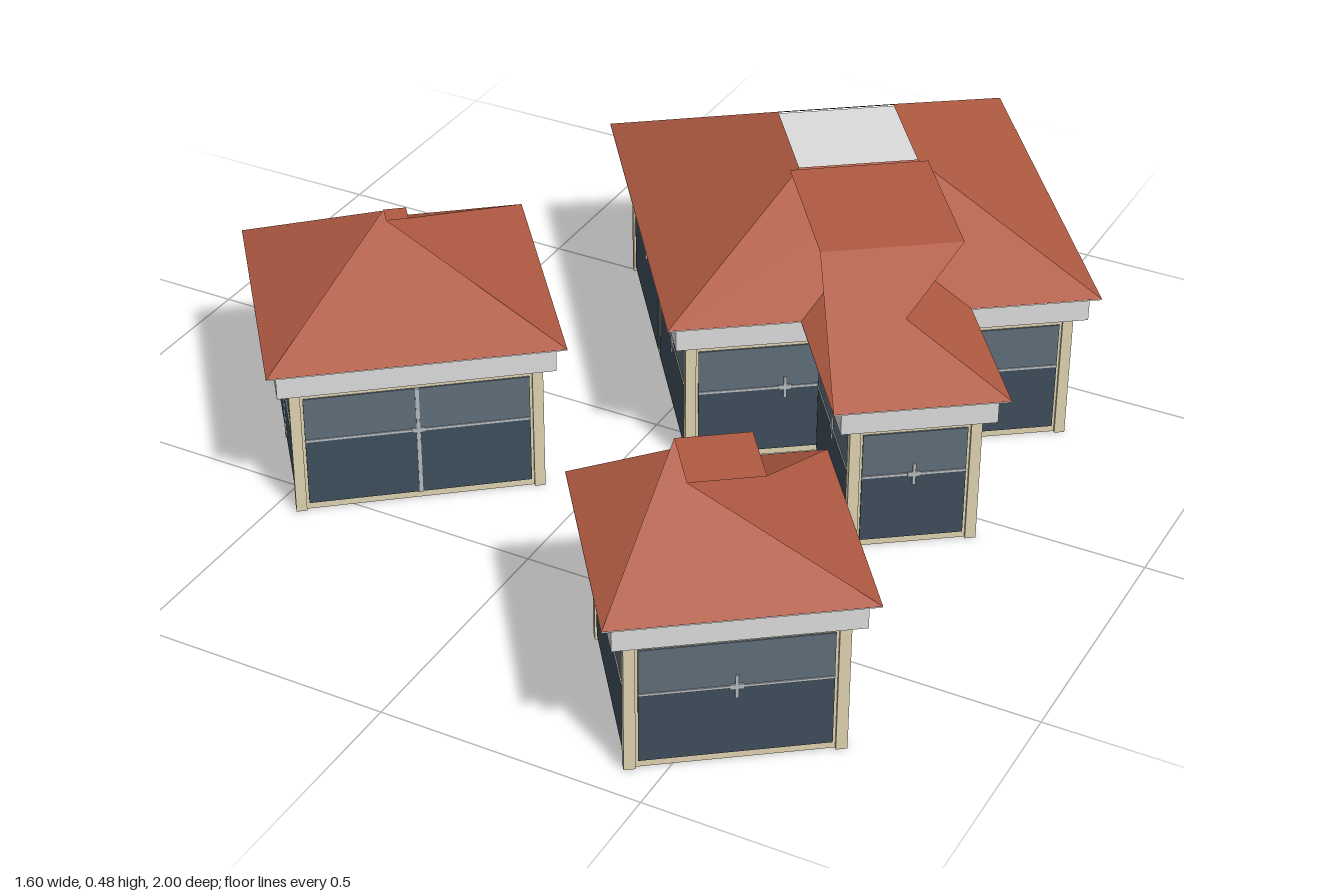
import * as THREE from 'three';

const EAVE = 0.32, RIDGE = 0.48, INSET = 0.295;   // roof heights and slope run
const WALL_IN = 0.05, FASCIA_IN = 0.018;          // how far walls and fascia sit inside the eaves
const WALL_H = 0.27;

const mat = (name, color, side = THREE.FrontSide) => {
  const m = new THREE.MeshStandardMaterial({ color, side });
  m.name = name;
  return m;
};

export function createModel() {
  const M = {
    tile: mat('terracotta tile', 0xb05a42, THREE.DoubleSide),
    plaster: mat('pale grey plaster', 0xdcdcdc, THREE.DoubleSide),
    frame: mat('cream frame', 0xdfd2b0),
    glassLow: mat('dark glass', 0x3e4e5b),
    glassHigh: mat('lighter glass', 0x5f6d79),
    bar: mat('grey metal', 0xb4babf),
  };

  const add = (parent, name, geo, material, x = 0, y = 0, z = 0) => {
    const m = new THREE.Mesh(geo, material);
    m.name = name;
    m.position.set(x, y, z);
    parent.add(m);
    return m;
  };
  const box = (parent, name, w, h, d, material, x, y, z = 0) =>
    add(parent, name, new THREE.BoxGeometry(w, h, d), material, x, y, z);

  // Sloping roof planes; on narrow buildings the planes run past each other to the cap
  function makeRoof(parent, h, z0, z1, { openBack, cap }) {
    const i = INSET, k = h - i;
    const zi0 = openBack ? z0 : z0 + i, zi1 = z1 - i;
    const O = [[-h, z0], [h, z0], [h, z1], [-h, z1]].map(([x, z]) => [x, EAVE, z]);
    const I = [[-k, zi0], [k, zi0], [k, zi1], [-k, zi1]].map(([x, z]) => [x, RIDGE, z]);
    const pts = [];
    for (let a = openBack ? 1 : 0; a < 4; a++) {
      const b = (a + 1) % 4;
      pts.push(...O[b], ...O[a], ...I[a], ...I[b], ...O[b], ...I[a]);
    }
    const geo = new THREE.BufferGeometry();
    geo.setAttribute('position', new THREE.Float32BufferAttribute(pts, 3));
    geo.computeVertexNormals();
    add(parent, 'roofSlopes', geo, M.tile);
    if (cap) {
      const top = new THREE.PlaneGeometry(Math.abs(2 * k), Math.abs(zi1 - zi0)).rotateX(-Math.PI / 2);
      add(parent, 'roofCap', top, M.tile, 0, RIDGE, (zi0 + zi1) / 2);
    }
  }

  // One wall facing +z, with windows visible on both sides
  function makeWall(width, windows, split) {
    const g = new THREE.Group();
    g.name = 'windowWall';
    box(g, 'wallFrame', width, WALL_H, 0.008, M.frame, 0, WALL_H / 2);
    const bay = width / windows;
    for (let n = 0; n < windows; n++) {
      const x = -width / 2 + bay * (n + 0.5), w = bay - 0.03;
      box(g, 'lowerGlass', w, 0.136, 0.014, M.glassLow, x, 0.082);
      box(g, 'upperGlass', w, 0.092, 0.014, M.glassHigh, x, 0.196);
      box(g, 'windowBar', w, 0.005, 0.018, M.bar, x, 0.152);
      box(g, 'handleUpright', 0.006, 0.045, 0.02, M.bar, x, 0.152);
      box(g, 'handleCross', 0.024, 0.01, 0.02, M.bar, x, 0.152);
      if (split) box(g, 'mullion', 0.007, 0.228, 0.018, M.bar, x, 0.128);
    }
    return g;
  }

  function makeBuilding(name, { x, z, angle, h, z0 = -h, z1 = h, windows = 1, split = false,
    cap = true, openBack = false, roofBack = z0 }) {
    const g = new THREE.Group();
    g.name = name;
    g.position.set(x, 0, z);
    g.rotation.y = THREE.MathUtils.degToRad(angle);

    makeRoof(g, h, roofBack, z1, { openBack, cap });

    // Ceiling doubling as the eave soffit
    const ceiling = new THREE.PlaneGeometry(2 * h, z1 - z0).rotateX(-Math.PI / 2);
    add(g, 'ceiling', ceiling, M.plaster, 0, EAVE - 0.002, (z0 + z1) / 2);

    // Fascia band: a rectangular ring on top of the walls
    const wx = h - WALL_IN, fx = h - FASCIA_IN;
    const wz0 = openBack ? z0 : z0 + WALL_IN, wz1 = z1 - WALL_IN;
    const fz0 = openBack ? z0 - 0.01 : z0 + FASCIA_IN, fz1 = z1 - FASCIA_IN;
    const rect = (P, w, a, b) => {
      const p = new P();
      p.moveTo(-w, -a).lineTo(w, -a).lineTo(w, -b).lineTo(-w, -b).closePath();
      return p;
    };
    const ring = rect(THREE.Shape, fx, fz0, fz1);
    ring.holes.push(rect(THREE.Path, wx - 0.004, wz0, wz1 - 0.004));
    const band = new THREE.ExtrudeGeometry(ring, { depth: EAVE - 0.003 - 0.265, bevelEnabled: false });
    add(g, 'fascia', band.rotateX(-Math.PI / 2), M.plaster, 0, 0.265, 0);

    // Walls on each side
    const depth = wz1 - wz0, mid = (wz0 + wz1) / 2;
    const sides = [[2 * wx, 0, wz1, 0], [depth, wx, mid, 1], [depth, -wx, mid, -1]];
    if (!openBack) sides.push([2 * wx, 0, wz0, 2]);
    for (const [w, px, pz, turn] of sides) {
      const wall = makeWall(w, windows, split);
      wall.position.set(px, 0, pz);
      wall.rotation.y = turn * Math.PI / 2;
      g.add(wall);
    }
    // Corner posts
    for (const s of [-1, 1])
      for (const pz of openBack ? [wz1] : [wz0, wz1])
        box(g, 'cornerPost', 0.02, WALL_H, 0.02, M.frame, s * wx, WALL_H / 2, pz);
    return g;
  }

  const model = new THREE.Group();
  model.name = 'pavilions';
  const main = { x: 0.19, z: -0.428, angle: 36 };
  model.add(
    makeBuilding('mainHall', { ...main, h: 0.41, windows: 2, cap: false }),
    makeBuilding('mainHallWing', { ...main, h: 0.161, z0: 0.36, z1: 0.728, openBack: true, roofBack: 0.122 }),
    makeBuilding('rightPavilion', { x: -0.418, z: 0.243, angle: 38.8, h: 0.274, split: true }),
    makeBuilding('frontPavilion', { x: 0.476, z: 0.677, angle: 36.5, h: 0.229 }),
  );
  return model;
}
